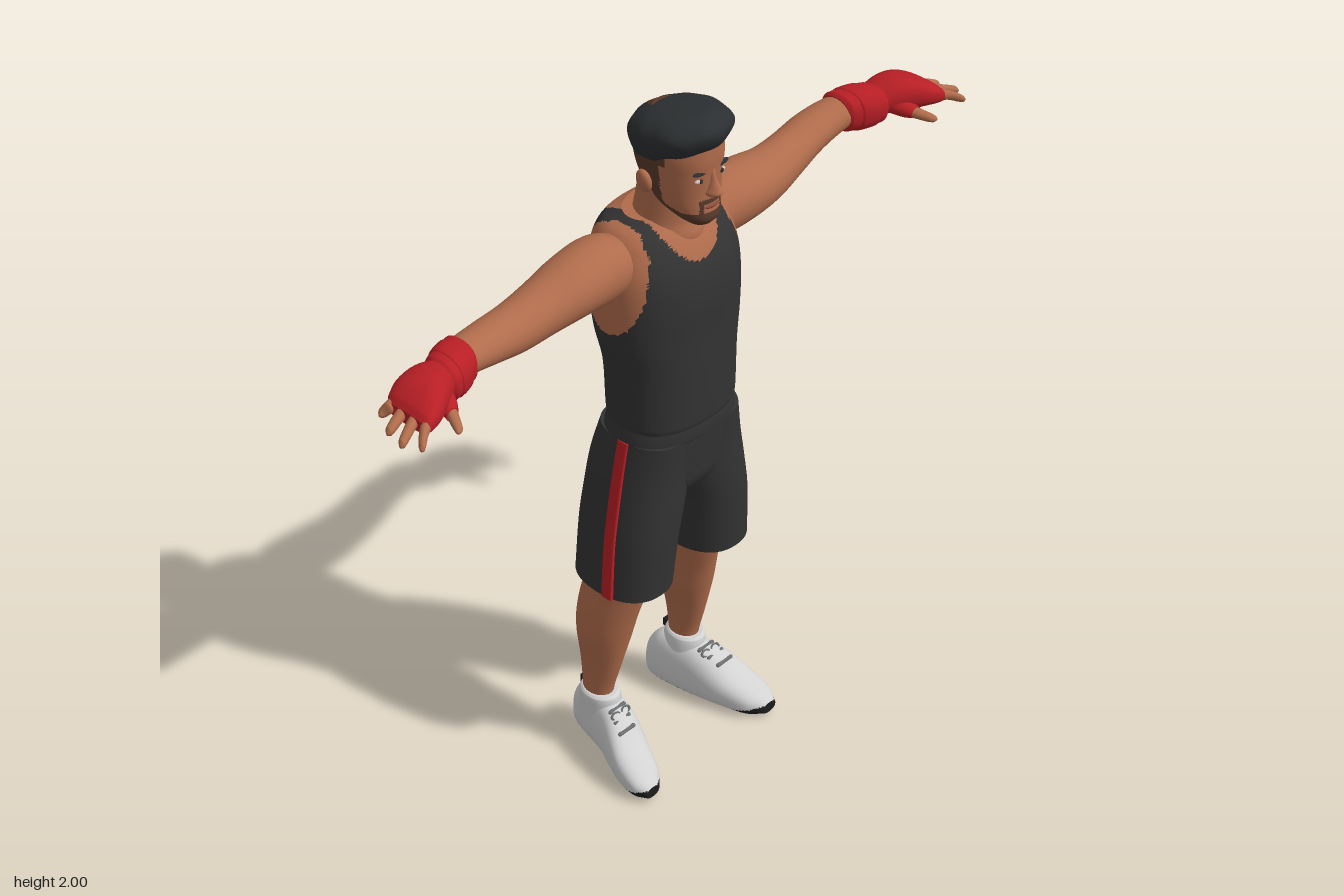
import * as THREE from 'three';

const mat = (name, color) => {
  const m = new THREE.MeshStandardMaterial({ color });
  m.name = name;
  return m;
};

// Smooth closed loft. Section: [t, a, b, radiusA, radiusB, exponent = 2].
// (a, b) are (x, z) along axis y, (z, y) along axis x, (y, x) along axis z.
function loft(axis, sections, segs = 32, sub = 5) {
  const S = sections.map(s => [...s.slice(0, 5), s[5] ?? 2]).sort((p, q) => p[0] - q[0]);
  const slope = (k, c) => {
    const p = S[Math.max(k - 1, 0)], q = S[Math.min(k + 1, S.length - 1)];
    return (q[c] - p[c]) / (q[0] - p[0]);
  };
  const rows = [];
  for (let k = 0; k < S.length - 1; k++) {
    const h = S[k + 1][0] - S[k][0];
    for (let i = 0; i < sub + (k === S.length - 2 ? 1 : 0); i++) {
      const u = i / sub, u2 = u * u, u3 = u2 * u;
      rows.push(S[k].map((v, c) => (2 * u3 - 3 * u2 + 1) * v + (u3 - 2 * u2 + u) * h * slope(k, c)
        + (3 * u2 - 2 * u3) * S[k + 1][c] + (u3 - u2) * h * slope(k + 1, c)));
    }
  }
  const pos = [], index = [];
  const put = (t, a, b) => {
    pos.push(...(axis === 'y' ? [a, t, b] : axis === 'x' ? [t, b, a] : [b, a, t]));
    return pos.length / 3 - 1;
  };
  const power = (v, n) => Math.sign(v) * Math.abs(v) ** (2 / n);
  const ring = ([t, a, b, ra, rb, n]) => {
    for (let j = 0; j < segs; j++) {
      const w = j / segs * Math.PI * 2;
      put(t, a + ra * power(Math.cos(w), n), b + rb * power(Math.sin(w), n));
    }
    return pos.length / 3 - segs;
  };
  rows.forEach(ring);
  for (let i = 0; i < rows.length - 1; i++) for (let j = 0; j < segs; j++) {
    const a = i * segs + j, c = i * segs + (j + 1) % segs;
    index.push(a, a + segs, c, a + segs, c + segs, c);
  }
  [rows[0], rows.at(-1)].forEach((row, top) => {
    const r = ring(row), c = put(row[0], row[1], row[2]);
    for (let j = 0; j < segs; j++) {
      const p = r + j, q = r + (j + 1) % segs;
      index.push(c, ...(top ? [q, p] : [p, q]));
    }
  });
  const g = new THREE.BufferGeometry();
  g.setAttribute('position', new THREE.Float32BufferAttribute(pos, 3));
  g.setIndex(index);
  g.computeVertexNormals();
  return g;
}

// Sort faces into material groups by a rule on the face centre.
function paint(g, rule) {
  const p = g.attributes.position, src = g.index.array, sets = [];
  for (let i = 0; i < src.length; i += 3) {
    const f = [src[i], src[i + 1], src[i + 2]];
    const mid = get => f.reduce((s, v) => s + get(v) / 3, 0);
    const k = rule(mid(v => p.getX(v)), mid(v => p.getY(v)), mid(v => p.getZ(v)));
    (sets[k] ??= []).push(...f);
  }
  g.setIndex(sets.flat());
  let start = 0;
  sets.forEach((s, k) => { g.addGroup(start, s.length, k); start += s.length; });
  return g;
}

function warp(g, fn) {
  const p = g.attributes.position, v = new THREE.Vector3();
  for (let i = 0; i < p.count; i++) { fn(v.fromBufferAttribute(p, i)); p.setXYZ(i, v.x, v.y, v.z); }
  g.computeVertexNormals();
  return g;
}

export function createModel() {
  const model = new THREE.Group();
  const skin = mat('skin', 0xb06c4c), stubble = mat('stubble', 0x593a2b), hair = mat('hair', 0x2c2f31);
  const cloth = mat('charcoal cloth', 0x333334), red = mat('red', 0xb81f25), white = mat('shoe white', 0xd2d2d2);
  const black = mat('sole black', 0x1d1d1d), grey = mat('lace grey', 0x6e7072);
  const lip = mat('lips', 0x8c4d3a), eyeWhite = mat('eye white', 0xcfc4ba);
  const add = (name, geo, material, parent = model) => {
    const m = new THREE.Mesh(geo, material);
    m.name = name;
    parent.add(m);
    return m;
  };
  const blob = (name, material, at, size, tilt = 0) => {
    const m = add(name, new THREE.SphereGeometry(1, 20, 14), material);
    m.position.set(...at); m.scale.set(...size); m.rotation.z = tilt;
  };

  // Torso: tank top with neckline and armholes
  const torso = loft('y', [[1.135, 0, 0, .17, .127, 2.4], [1.15, 0, 0, .173, .13, 2.4], [1.3, 0, -.003, .178, .134, 2.4],
    [1.4, 0, -.013, .194, .143, 2.4], [1.5, 0, -.02, .197, .151, 2.4], [1.58, 0, -.026, .192, .146, 2.4],
    [1.64, 0, -.035, .175, .13, 2.4], [1.68, 0, -.04, .148, .105, 2.3], [1.7, 0, -.04, .1, .075]], 96, 10);
  add('tankTop', paint(torso, (x, y, z) => {
    const ax = Math.abs(x);
    const arm = ax > .12 && ((z + .03) / .105) ** 2 + ((y - 1.56) / .14) ** 2 < 1;
    const neck = (z > -.05 && (x / .087) ** 2 + ((y - 1.695) / .088) ** 2 < 1) || (ax < .088 && y > 1.672);
    return arm || neck || (ax > .133 && y > 1.63) ? 1 : 0;
  }), [cloth, skin]);
  add('neck', loft('y', [[1.58, 0, -.015, .09, .1], [1.66, 0, -.015, .088, .102], [1.7, 0, -.012, .078, .086],
    [1.79, 0, -.005, .07, .076]]), skin);

  // Head with stubble and faded sides
  const head = loft('y', [[1.712, 0, .095, .03, .03], [1.73, 0, .083, .05, .056, 2.2], [1.76, 0, .054, .069, .083, 2.2],
    [1.8, 0, .035, .08, .1, 2.2], [1.85, 0, .025, .088, .112, 2.2], [1.9, 0, .025, .091, .115, 2.2],
    [1.95, 0, .025, .083, .108], [1.98, 0, .025, .05, .07]], 80, 8);
  add('head', paint(head, (x, y, z) => {
    const ax = Math.abs(x);
    const beard = z > .02 && y < 1.752 + Math.max(0, .09 - z) * .4;
    const moustache = z > .1 && ax < .036 && y < 1.787 && (y > 1.776 || ax > .026);
    const sideburn = ax > .055 && z > .012 && z < .045 && y > 1.75;
    const fade = (z < .012 && y > 1.785) || (z < .065 && ax > .05 && y > 1.875);
    return beard || moustache || sideburn || fade ? 1 : 0;
  }), [skin, stubble]);
  add('hair', warp(loft('y', [[1.885, 0, .012, .092, .1], [1.915, 0, .026, .104, .119, 2.2], [1.95, 0, .033, .111, .126, 2.2],
    [1.978, 0, .036, .094, .108], [1.993, 0, .042, .06, .07], [1.996, 0, .045, .02, .025]], 64, 6), v => {
    const w = Math.atan2(v.x, v.z);
    const k = 1 + .015 * Math.sin(w * 9 + v.y * 40);
    v.x *= k; v.z = .03 + (v.z - .03) * k;
    v.y += (v.z - .045) * .15;
  }), hair);
  add('nose', loft('y', [[1.793, 0, .128, .012, .015], [1.804, 0, .132, .021, .03], [1.818, 0, .131, .016, .028],
    [1.84, 0, .127, .01, .02], [1.868, 0, .125, .01, .013]], 20), skin);
  blob('lips', lip, [0, 1.767, .132], [.023, .007, .009]);
  for (const s of [1, -1]) {
    blob('ear', skin, [s * .096, 1.82, .006], [.014, .033, .022], -s * .2);
    blob('eye', eyeWhite, [s * .036, 1.844, .126], [.014, .006, .007]);
    blob('iris', hair, [s * .035, 1.844, .13], [.006, .006, .005]);
    blob('eyebrow', hair, [s * .037, 1.864, .128], [.022, .005, .008], s * .12);
  }

  // Shorts: hips, legs and side stripes
  add('shortsHips', loft('y', [[.885, 0, -.02, .09, .09], [.94, 0, -.02, .17, .125, 2.4], [1.0, 0, -.018, .19, .132, 2.4],
    [1.08, 0, -.006, .178, .127, 2.4], [1.1, 0, -.003, .174, .124, 2.4]], 48), cloth);
  add('waistband', loft('y', [[1.09, 0, -.003, .174, .125, 2.4], [1.097, 0, -.003, .179, .13, 2.4],
    [1.135, 0, 0, .171, .126, 2.4], [1.142, 0, 0, .166, .121, 2.4]], 48), cloth);
  for (const s of [1, -1]) {
    const leg = [[.635, .14, -.032, .105, .134, 2.3], [.8, .126, -.025, .107, .137, 2.3], [.9, .108, -.022, .11, .136, 2.3],
      [1.0, .094, -.018, .106, .131, 2.3], [1.1, .084, -.004, .094, .122, 2.3]];
    add('shortsLeg', loft('y', leg.map(([y, x, ...r]) => [y, s * x, ...r]), 48), cloth);
    add('sideStripe', loft('y', leg.map(([y, x, , r]) => [y, s * (x + r - .005), .008, .008, .018, 5])), red);

    // Lower leg with calf
    add('lowerLeg', loft('y', [[.12, s * .163, -.11, .036, .044], [.2, s * .165, -.11, .037, .045], [.3, s * .162, -.102, .043, .063],
      [.42, s * .155, -.094, .064, .084], [.5, s * .148, -.083, .066, .092], [.6, s * .134, -.063, .067, .097],
      [.72, s * .13, -.05, .075, .1]]), skin);

    // Shoe, turned outward, with dark sole and toe edge
    const shoe = warp(loft('z', [[-.21, .06, s * .14, .04, .02, 2.3], [-.195, .08, s * .142, .072, .038, 2.4],
      [-.15, .095, s * .148, .093, .05, 2.4], [-.06, .095, s * .165, .093, .057, 2.4], [0, .083, s * .184, .081, .063, 2.4],
      [.06, .059, s * .205, .055, .062, 2.5], [.12, .043, s * .22, .036, .05, 2.5], [.156, .034, s * .229, .017, .024, 2.3]],
      64, 7), v => { v.y = Math.max(v.y, .005); });
    add('shoe', paint(shoe, (x, y, z) => y < .018 + Math.max(0, z - .07) * .35 ? 1 : 0), [white, black]);
    add('shoeCollar', loft('y', [[.1, s * .16, -.105, .052, .072], [.17, s * .163, -.105, .051, .065],
      [.2, s * .165, -.104, .048, .06], [.207, s * .165, -.104, .042, .052]]), white);
    add('heelTab', new THREE.BoxGeometry(.022, .025, .012), black).position.set(s * .16, .197, -.167);
    for (let i = 0; i < 3; i++) {
      const lace = add('lace', new THREE.CapsuleGeometry(.006, .05, 4, 8), grey);
      lace.position.set(s * (.172 + i * .009), .176 - i * .016, -.033 + i * .027);
      lace.rotation.z = Math.PI / 2;
    }
    for (const e of [1, -1]) {
      const bow = add('laceBow', new THREE.TorusGeometry(.014, .004, 6, 16), grey);
      bow.position.set(s * .174 + e * .018, .17, -.018);
      bow.scale.y = .6;
      bow.rotation.x = -.6;
    }
  }

  // Arms: the left one held further back than the right
  const sides = [
    { s: 1, h: -.062, z: [-.035, -.04, -.04, -.055, -.08, -.09, -.08, -.055] },
    { s: -1, h: .035, z: [-.035, -.04, -.035, -.033, -.025, -.005, .018, .045] },
  ];
  const armShape = [[.12, 1.6, .07, .06], [.2, 1.606, .083, .083], [.3, 1.606, .083, .077], [.4, 1.594, .071, .067],
    [.5, 1.59, .063, .06], [.6, 1.61, .058, .051], [.7, 1.63, .05, .042], [.78, 1.635, .04, .035]];
  for (const { s, h, z } of sides) {
    add('arm', loft('x', armShape.map(([d, y, rz, ry], i) => [s * d, z[i], y, rz, ry])), skin);
    const hz = d => h + (d - .74) * .38;
    const along = list => loft('x', list.map(([d, y, rz, ry, n, o = 0]) => [s * d, hz(d) + o, y, rz, ry, n]));
    add('gloveCuff', along([[.686, 1.63, .048, .044, 2.4], [.696, 1.63, .056, .052, 2.4], [.78, 1.634, .057, .052, 2.4],
      [.792, 1.636, .048, .044, 2.4]]), red);
    add('cuffStrap', along([[.715, 1.631, .056, .052, 2.4], [.72, 1.631, .061, .056, 2.4], [.76, 1.633, .061, .056, 2.4],
      [.765, 1.633, .056, .052, 2.4]]), red);
    add('glove', along([[.775, 1.638, .044, .038, 2.2], [.83, 1.65, .063, .045, 2.3], [.88, 1.65, .076, .04, 2.5],
      [.92, 1.643, .073, .028, 2.8], [.936, 1.637, .064, .017, 2.8]]), red);
    // Fingers from the far side to the index
    [[.958, -.052], [.99, -.018], [1, .017], [.978, .051]].forEach(([tip, o]) => {
      add('finger', along([[.9, 1.642, .015, .015, 2, o], [.94, 1.638, .014, .014, 2, o * 1.15],
        [tip - .008, 1.625, .011, .011, 2, o * 1.4], [tip, 1.622, .004, .004, 2, o * 1.45]]), skin);
    });
    const t = hz(.83);
    add('thumbSleeve', loft('z', [[t + .01, 1.635, s * .815, .025, .03], [t + .06, 1.625, s * .832, .022, .024],
      [t + .082, 1.62, s * .842, .016, .018]], 20), red);
    add('thumb', loft('z', [[t + .06, 1.624, s * .832, .015, .016], [t + .1, 1.615, s * .85, .013, .014],
      [t + .126, 1.61, s * .862, .009, .01], [t + .132, 1.609, s * .865, .003, .004]], 20), skin);
  }
  return model;
}
